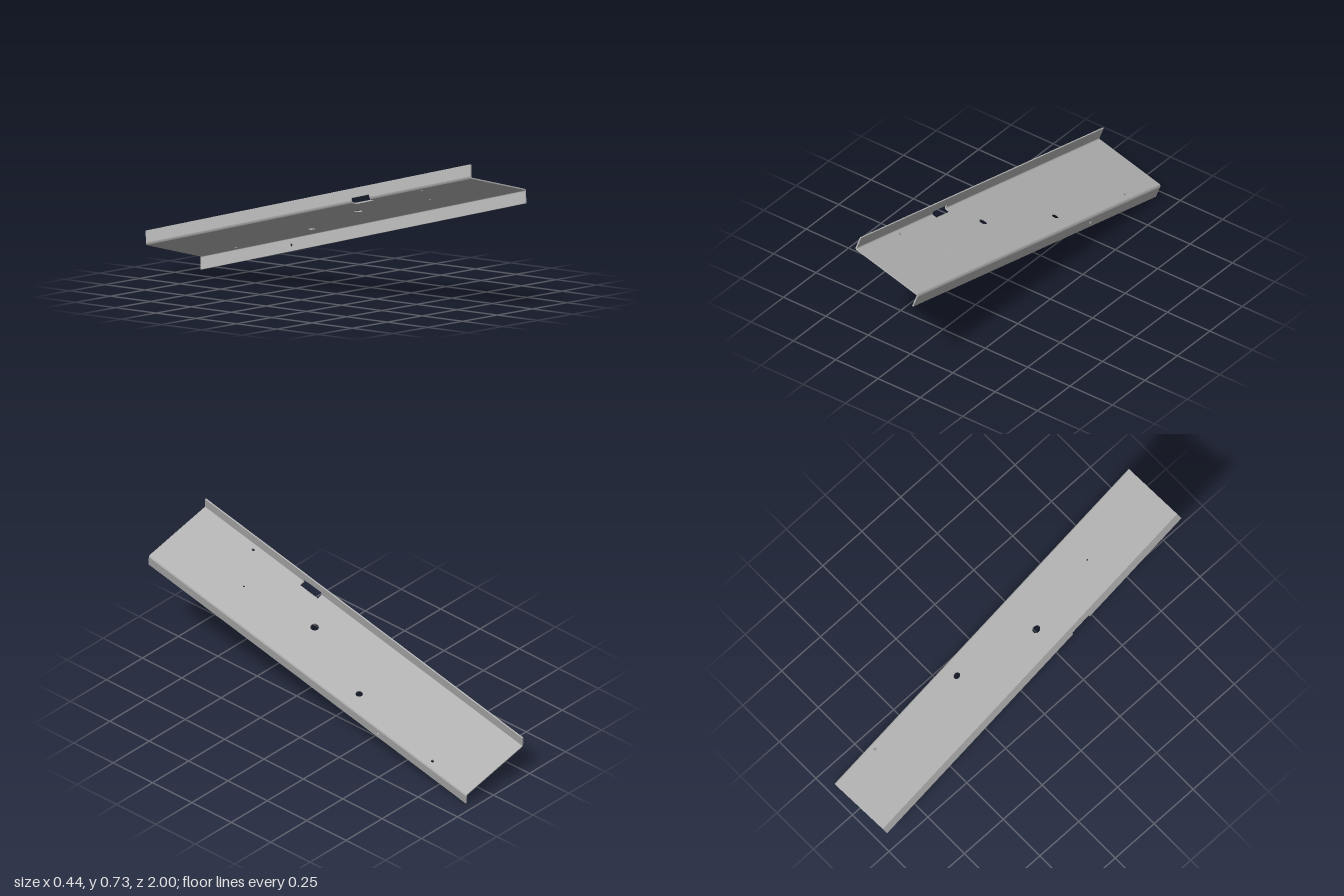
import * as THREE from 'three';
import { toCreasedNormals } from 'three/addons/utils/BufferGeometryUtils.js';

// Section sizes: half length, half width, half height, sheet thickness, outer bend radius
const L = 1.01, A = 0.197, H = 0.066, T = 0.0065, R = 0.012;
const V = R - T / 2; // height where a bend meets its flange
// Cut-out across the upper bend: length range, depth into web, height into flange
const CUT = { w0: 0.267, w1: 0.379, u: -0.164, v: 0.021 };

const polygon = (points) => new THREE.Shape(points.map(([x, y]) => new THREE.Vector2(x, y)));

function addHole(shape, x, y, r) {
  const hole = new THREE.Path();
  hole.absarc(x, y, r, 0, Math.PI * 2, true);
  shape.holes.push(hole);
}

function extrude(shape, depth) {
  const geometry = new THREE.ExtrudeGeometry(shape, { depth, bevelEnabled: false, curveSegments: 16 });
  return toCreasedNormals(geometry, 0.6);
}

export function createModel() {
  const model = new THREE.Group();
  model.name = 'bracket';
  const steel = new THREE.MeshStandardMaterial({ color: 0xb2b2b2 });
  steel.name = 'grey steel';

  const add = (name, geometry) => {
    const mesh = new THREE.Mesh(geometry, steel);
    mesh.name = name;
    model.add(mesh);
    return mesh;
  };

  // Flat web with its cut-out and round holes (shape y is minus the length axis)
  const e = A - R;
  const web = polygon([
    [-e, -L], [e, -L], [e, L], [-e, L],
    [-e, -CUT.w0], [CUT.u, -CUT.w0], [CUT.u, -CUT.w1], [-e, -CUT.w1],
  ]);
  const holes = [
    [-0.032, 0.165, 0.02], [0.109, -0.248, 0.017], [0.16, -0.761, 0.0077],
    [0.022, 0.566, 0.005], [-0.1645, 0.677, 0.0077],
  ];
  for (const [u, w, r] of holes) addHole(web, u, -w, r);
  add('web', extrude(web, T).rotateX(-Math.PI / 2).translate(0, -T / 2, 0));

  // Upright flange, notched along its lower edge
  const upper = polygon([
    [-L, V], [CUT.w0, V], [CUT.w0, CUT.v], [CUT.w1, CUT.v], [CUT.w1, V],
    [L, V], [L, H], [-L, H],
  ]);
  add('upperFlange', extrude(upper, T).rotateY(-Math.PI / 2).translate(-A + T, 0, 0));

  // Hanging flange with one small hole
  const lower = polygon([[-L, -H], [L, -H], [L, -V], [-L, -V]]);
  addHole(lower, -0.446, -0.037, 0.007);
  add('lowerFlange', extrude(lower, T).rotateY(-Math.PI / 2).translate(A, 0, 0));

  // Rounded bends; the upper one is interrupted by the cut-out
  const addBend = (name, w0, w1) => {
    const bend = new THREE.Shape();
    bend.absarc(-e, V, R, Math.PI, Math.PI * 1.5, false);
    bend.absarc(-e, V, R - T, Math.PI * 1.5, Math.PI, true);
    return add(name, extrude(bend, w1 - w0).translate(0, 0, w0));
  };
  addBend('upperBendBack', -L, CUT.w0);
  addBend('upperBendFront', CUT.w1, L);
  addBend('lowerBend', -L, L).rotation.z = Math.PI;

  // Tilt the whole bracket: length rises to the front, width falls to the left
  const along = new THREE.Vector3(0.033, 0.25, 0.968).normalize();
  const up = along.clone().cross(new THREE.Vector3(0.967, -0.25, 0.032)).normalize();
  const across = up.clone().cross(along);
  model.quaternion.setFromRotationMatrix(new THREE.Matrix4().makeBasis(across, up, along));
  model.position.y = 0.3635;

  const root = new THREE.Group();
  root.add(model);
  return root;
}
